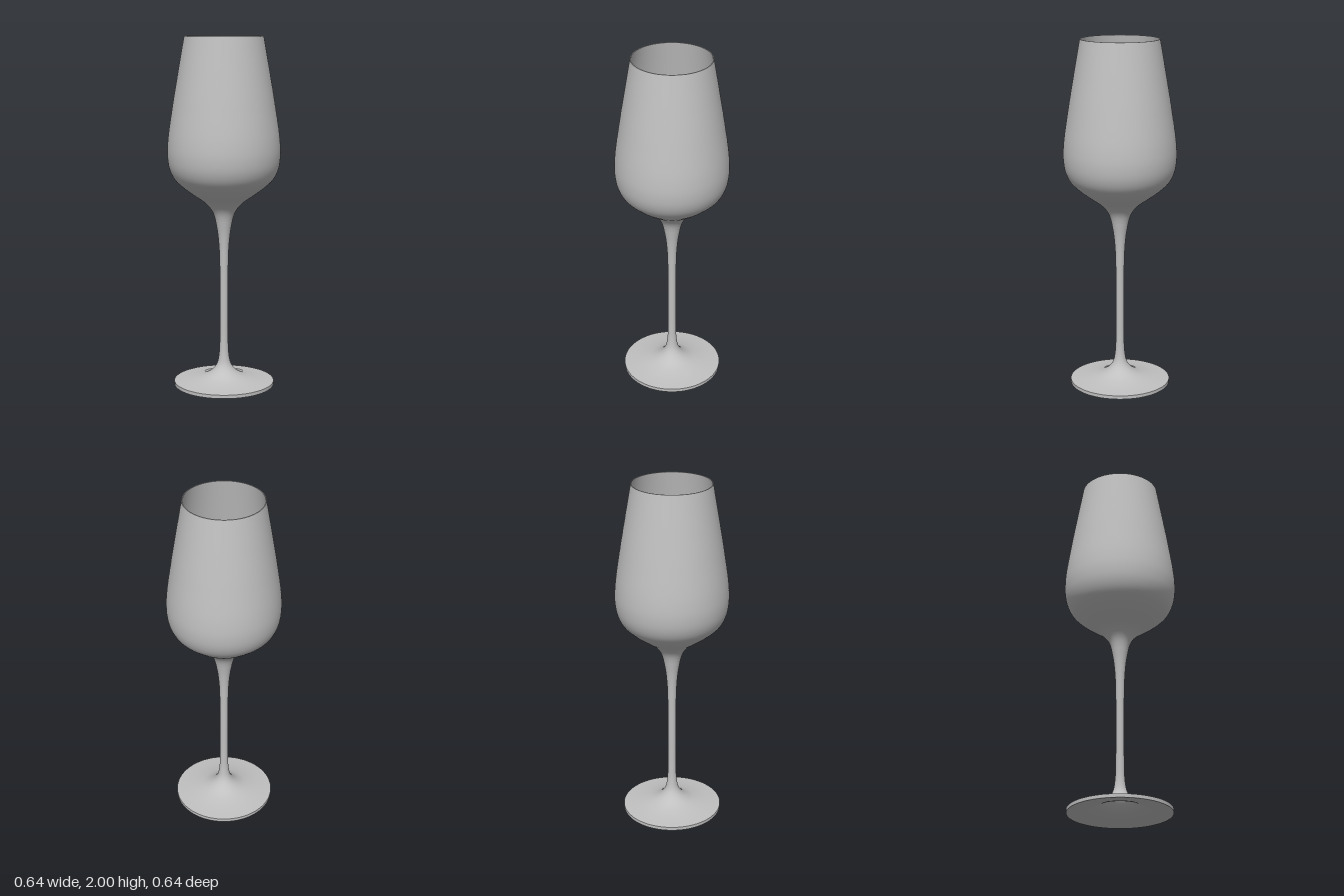
import * as THREE from 'three';

const SEGMENTS = 96;

// Outer silhouette, from the foot edge up to the rim: [radius, height]
const SILHOUETTE = [
  [0.288, 0.02], [0.23, 0.026], [0.17, 0.036], [0.11, 0.054], [0.065, 0.084],
  [0.04, 0.12], [0.028, 0.18], [0.024, 0.27], [0.023, 0.5], [0.024, 0.68],
  [0.029, 0.82], [0.041, 0.92], [0.064, 1.01], [0.105, 1.062], [0.165, 1.105],
  [0.232, 1.155], [0.282, 1.205], [0.308, 1.26], [0.319, 1.33], [0.316, 1.42],
  [0.289, 1.61], [0.257, 1.8], [0.222, 2],
];

// Wall thickness: heavier at the foot, thin in the stem, slightly thicker in the bowl
function thickness(y) {
  const foot = 0.017 * (1 - THREE.MathUtils.smoothstep(y, 0.02, 0.11));
  const bowl = 0.002 * THREE.MathUtils.smoothstep(y, 0.8, 1.1);
  return 0.003 + foot + bowl;
}

export function createModel() {
  const group = new THREE.Group();
  group.name = 'wineGlass';
  const glass = new THREE.MeshStandardMaterial({ color: 0xc0c0c0, side: THREE.DoubleSide });
  glass.name = 'grey glass';

  const curve = new THREE.CatmullRomCurve3(
    SILHOUETTE.map(([r, y]) => new THREE.Vector3(r, y, 0)), false, 'centripetal');
  const outer = [];
  const inner = [];
  const steps = 160;
  for (let i = 0; i <= steps; i++) {
    const p = curve.getPointAt(i / steps);
    const t = curve.getTangentAt(i / steps);
    const d = thickness(p.y);
    outer.push(new THREE.Vector2(p.x, p.y));
    // Inner wall is offset along the profile normal
    inner.push(new THREE.Vector2(Math.max(p.x - t.y * d, 0.019), p.y + t.x * d));
  }
  inner[0].set(0.288, 0);
  inner[steps].y = 2;

  const addLathe = (name, points) => {
    const mesh = new THREE.Mesh(new THREE.LatheGeometry(points, SEGMENTS), glass);
    mesh.name = name;
    group.add(mesh);
  };

  // Foot, stem and bowl share one flowing profile, open through the middle
  const stemStart = outer.findIndex((p) => p.y > 0.3);
  const bowlStart = outer.findIndex((p) => p.y > 0.95);
  const parts = [['foot', 0, stemStart], ['stem', stemStart, bowlStart], ['bowl', bowlStart, steps]];
  for (const [name, from, to] of parts) {
    addLathe(name + 'Outside', outer.slice(from, to + 1));
    addLathe(name + 'Inside', inner.slice(from, to + 1).reverse());
  }

  // Crisp edge bands closing the wall at the foot and the rim
  addLathe('footEdge', [inner[0], outer[0]]);
  addLathe('rim', [outer[steps], inner[steps]]);
  return group;
}
